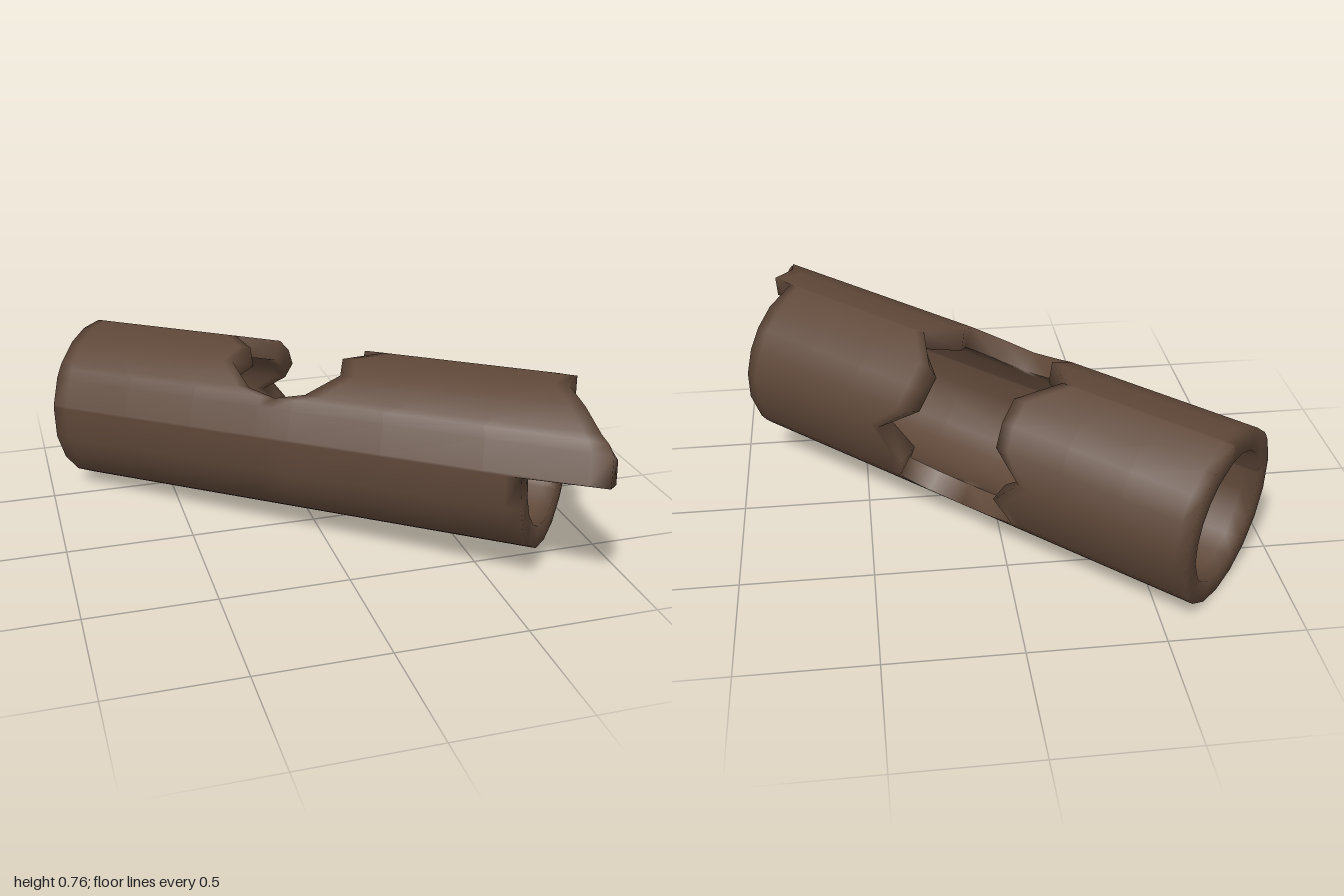
import * as THREE from 'three';
import { mergeVertices } from 'three/addons/utils/BufferGeometryUtils.js';

const OUTER = 0.333, INNER = 0.25, HALF = 0.9925;

// One column per angle: [degrees from the top, half-width of the side hole, splinter length past the front end]
function columns() {
  const list = [
    [-78, 0, 0], [-76.5, 0, 0.31], [-57, 0, 0.305], [-50, 0, 0.28], [-45, 0.12, 0.25],
    [-27, 0.23, 0.17], [-10, 0.2, 0.09], [8, 0.32, 0.09], [9.5, 0.31, 0], [33, 0.19, 0],
    [50, 0.19, 0], [66, 0.2, 0], [84, 0.32, 0], [103, 0.21, 0], [126, 0.26, 0],
    [134, 0.14, 0], [140, 0, 0],
  ];
  for (let d = 160; d < 280; d += 20) list.push([d, 0, 0]);
  list.push([282, 0, 0]);
  return list;
}

// Hollow trunk: curved wall strips behind and in front of the hole, closed by rims
function trunkGeometry() {
  const pos = [];
  const point = (deg, r, s) => {
    const a = THREE.MathUtils.degToRad((deg + 360) % 360);
    return [r * Math.sin(a), r * Math.cos(a), s];
  };
  const quad = (a, b, c, d) => pos.push(...a, ...b, ...c, ...a, ...c, ...d);
  const rows = [0, 0.06, 0.35, 0.65, 0.94, 1];

  const strip = (t0, t1, from, to, capBack, capFront) => {
    const at = (k, f) => THREE.MathUtils.lerp(from[k], to[k], f);
    for (let i = 0; i < rows.length - 1; i++) {
      const f = rows[i], g = rows[i + 1];
      const ring = (r) => [
        point(t0, r, at(0, f)), point(t1, r, at(1, f)),
        point(t1, r, at(1, g)), point(t0, r, at(0, g)),
      ];
      const [a, b, c, d] = ring(OUTER);
      quad(a, d, c, b);
      quad(...ring(INNER));
    }
    const rim = (s) => [
      point(t0, OUTER, s[0]), point(t0, INNER, s[0]),
      point(t1, INNER, s[1]), point(t1, OUTER, s[1]),
    ];
    if (capFront) quad(...rim(to));
    if (capBack) quad(...rim(from).reverse());
  };

  const cols = columns();
  for (let i = 0; i < cols.length - 1; i++) {
    const [t0, w0, e0] = cols[i], [t1, w1, e1] = cols[i + 1];
    const open = w0 + w1 > 0;
    strip(t0, t1, [-HALF, -HALF], [-w0, -w1], true, open);
    strip(t0, t1, [w0, w1], [HALF + e0, HALF + e1], open, true);
  }

  const raw = new THREE.BufferGeometry();
  raw.setAttribute('position', new THREE.Float32BufferAttribute(pos, 3));
  const geometry = mergeVertices(raw, 1e-4);
  geometry.computeVertexNormals();
  return geometry;
}

export function createModel() {
  const group = new THREE.Group();
  group.name = 'hollowLog';
  const bark = new THREE.MeshStandardMaterial({ color: 0x5e4738 });
  bark.name = 'brown bark';

  const trunk = new THREE.Mesh(trunkGeometry(), bark);
  trunk.name = 'hollowTrunk';

  // Lay the trunk diagonally with a slight rise towards the front
  const along = new THREE.Vector3(0.756, 0.045, 0.655).normalize();
  const side = new THREE.Vector3(0.655, 0, -0.756).normalize();
  const up = new THREE.Vector3().crossVectors(along, side);
  trunk.quaternion.setFromRotationMatrix(new THREE.Matrix4().makeBasis(side, up, along));
  trunk.position.set(-0.005, 0.377, -0.1);
  group.add(trunk);
  return group;
}
